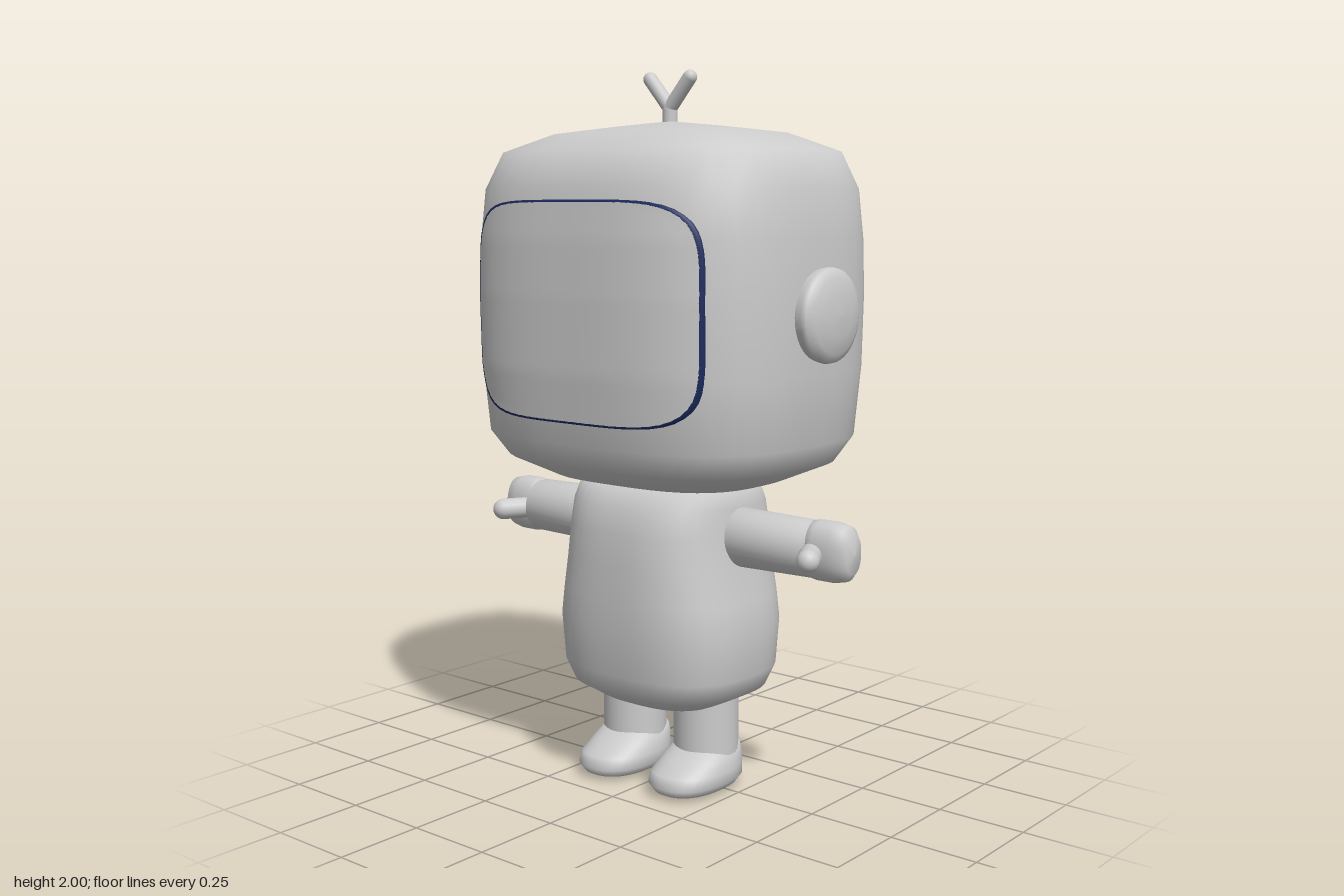
import * as THREE from 'three';

const grey = new THREE.MeshStandardMaterial({ color: 0xcccccc });
grey.name = 'body grey';
const navy = new THREE.MeshStandardMaterial({ color: 0x1c2a5c, side: THREE.DoubleSide });
navy.name = 'trim navy';

// Stack of rounded-box cross-sections, rows of [y, half width, half depth, z offset].
function loft(rows, n = 3, sides = 48) {
  const pos = [], idx = [];
  for (const [y, rx, rz, off = 0] of rows) {
    for (let j = 0; j < sides; j++) {
      const t = (j / sides) * Math.PI * 2, c = Math.cos(t), s = Math.sin(t);
      const r = 1 / Math.pow(Math.abs(c) ** n + Math.abs(s) ** n, 1 / n);
      pos.push(rx * r * c, y, off + rz * r * s);
    }
  }
  for (let i = 0; i < rows.length - 1; i++) {
    for (let j = 0; j < sides; j++) {
      const k = (j + 1) % sides;
      const a = i * sides + j, b = i * sides + k, c = a + sides, d = b + sides;
      if (rows[i][1] > 0) idx.push(a, c, b);
      if (rows[i + 1][1] > 0) idx.push(b, c, d);
      else if (rows[i][1] === 0) continue;
    }
  }
  const g = new THREE.BufferGeometry();
  g.setAttribute('position', new THREE.Float32BufferAttribute(pos, 3));
  g.setIndex(idx);
  g.computeVertexNormals();
  return g;
}

const headRows = [
  [0.87, 0, 0], [0.873, 0.2, 0.15], [0.885, 0.32, 0.245], [0.94, 0.45, 0.35],
  [1.01, 0.495, 0.4], [1.2, 0.511, 0.417], [1.4, 0.515, 0.42], [1.55, 0.51, 0.417],
  [1.68, 0.497, 0.406], [1.78, 0.455, 0.36], [1.83, 0.32, 0.245], [1.85, 0.15, 0.115], [1.865, 0, 0],
];

// Depth of the head's front surface at (x, y).
function headZ(x, y) {
  const i = headRows.findIndex((r) => r[0] >= y);
  const a = headRows[i - 1], b = headRows[i], t = (y - a[0]) / (b[0] - a[0]);
  const rx = a[1] + (b[1] - a[1]) * t, rz = a[2] + (b[2] - a[2]) * t;
  return rz * Math.cbrt(1 - Math.abs(x / rx) ** 3);
}

// Rounded panel that follows the head; each ring is [scale, lift off the surface].
function facePanel(rings, sides = 96) {
  const pos = [], idx = [], n = 5;
  rings.forEach(([s, lift], i) => {
    for (let j = 0; j < sides; j++) {
      const t = (j / sides) * Math.PI * 2, c = Math.cos(t), q = Math.sin(t);
      const r = 1 / Math.pow(Math.abs(c) ** n + Math.abs(q) ** n, 1 / n);
      const x = 0.395 * s * r * c, y = 1.36 + 0.29 * s * r * q;
      pos.push(x, y, headZ(x, y) + lift);
      if (i === 0) continue;
      const k = (j + 1) % sides, a = (i - 1) * sides + j, b = (i - 1) * sides + k;
      idx.push(a, a + sides, b, b, a + sides, b + sides);
    }
  });
  const g = new THREE.BufferGeometry();
  g.setAttribute('position', new THREE.Float32BufferAttribute(pos, 3));
  g.setIndex(idx);
  g.computeVertexNormals();
  return g;
}

// Capsule between two points.
function rod(from, to, radius) {
  const a = new THREE.Vector3(...from), b = new THREE.Vector3(...to);
  const dir = b.clone().sub(a);
  const g = new THREE.CapsuleGeometry(radius, dir.length(), 5, 16);
  g.applyQuaternion(new THREE.Quaternion().setFromUnitVectors(new THREE.Vector3(0, 1, 0), dir.normalize()));
  const m = a.add(b).multiplyScalar(0.5);
  return g.translate(m.x, m.y, m.z);
}

export function createModel() {
  const model = new THREE.Group();
  model.name = 'robot';
  const add = (name, geometry, material = grey) => {
    const mesh = new THREE.Mesh(geometry, material);
    mesh.name = name;
    model.add(mesh);
    return mesh;
  };

  // Head with curved screen and its thin dark outline
  add('head', loft(headRows));
  const rings = [];
  for (let i = 0; i <= 14; i++) rings.push([(i / 14) * 0.982, 0.006]);
  add('screen', facePanel(rings));
  add('screenOutline', facePanel([[0.98, 0.006], [1, 0.006], [1.003, -0.003]]), navy);

  // Body
  add('torso', loft([
    [0.23, 0, 0], [0.235, 0.1, 0.08], [0.25, 0.19, 0.16], [0.29, 0.268, 0.22], [0.35, 0.295, 0.243],
    [0.48, 0.303, 0.253], [0.56, 0.29, 0.254], [0.66, 0.27, 0.253], [0.75, 0.26, 0.248],
    [0.82, 0.254, 0.235], [0.88, 0.243, 0.2], [0.9, 0, 0],
  ], 2.8));

  // Forked antenna
  add('antennaStem', rod([0, 1.85, 0], [0, 1.895, 0], 0.021));

  const earProfile = [[0.118, 0], [0.125, 0.03], [0.122, 0.045], [0.1, 0.058], [0.055, 0.069], [0, 0.071]]
    .map(([r, y]) => new THREE.Vector2(r, y));
  const armRows = [[0, 0, 0], [0.001, 0.083, 0.08], [0.3, 0.077, 0.077], [0.301, 0, 0]];
  const handRows = [
    [0, 0, 0], [0.003, 0.06, 0.035], [0.015, 0.077, 0.051], [0.04, 0.081, 0.056], [0.09, 0.081, 0.055],
    [0.125, 0.073, 0.049], [0.141, 0.052, 0.034], [0.146, 0, 0],
  ];
  const footRows = [
    [0.004, 0, 0, 0.04], [0.006, 0.05, 0.085, 0.04], [0.018, 0.09, 0.135, 0.045], [0.04, 0.107, 0.15, 0.045],
    [0.07, 0.105, 0.142, 0.038], [0.1, 0.097, 0.115, 0.012], [0.125, 0.085, 0.095, -0.005],
    [0.137, 0.06, 0.07, -0.005], [0.14, 0, 0, -0.005],
  ];

  for (const s of [1, -1]) {
    const side = s > 0 ? 'left' : 'right';
    add(side + 'AntennaFork', rod([0, 1.9, 0], [s * 0.07, 1.98, 0], 0.02));

    // Ear disc
    const ear = add(side + 'Ear', new THREE.LatheGeometry(earProfile, 40));
    ear.rotation.z = -s * Math.PI / 2;
    ear.position.set(s * 0.5, 1.355, 0);

    // Arm, hand and thumb
    const arm = add(side + 'Arm', loft(armRows, 2, 32));
    arm.rotation.z = -s * Math.PI / 2;
    arm.position.set(s * 0.2, 0.737, 0);
    const hand = add(side + 'Hand', loft(handRows, 2.3, 32));
    hand.rotation.z = -s * Math.PI / 2;
    hand.position.set(s * 0.48, 0.737, 0);
    add(side + 'Thumb', rod([s * 0.515, 0.732, 0.04], [s * 0.556, 0.732, 0.115], 0.031));

    // Leg and foot
    const leg = add(side + 'Leg', new THREE.CylinderGeometry(0.092, 0.092, 0.22, 32));
    leg.position.set(s * 0.133, 0.22, 0);
    const foot = add(side + 'Foot', loft(footRows, 2.4, 40));
    foot.position.x = s * 0.132;
  }
  return model;
}
